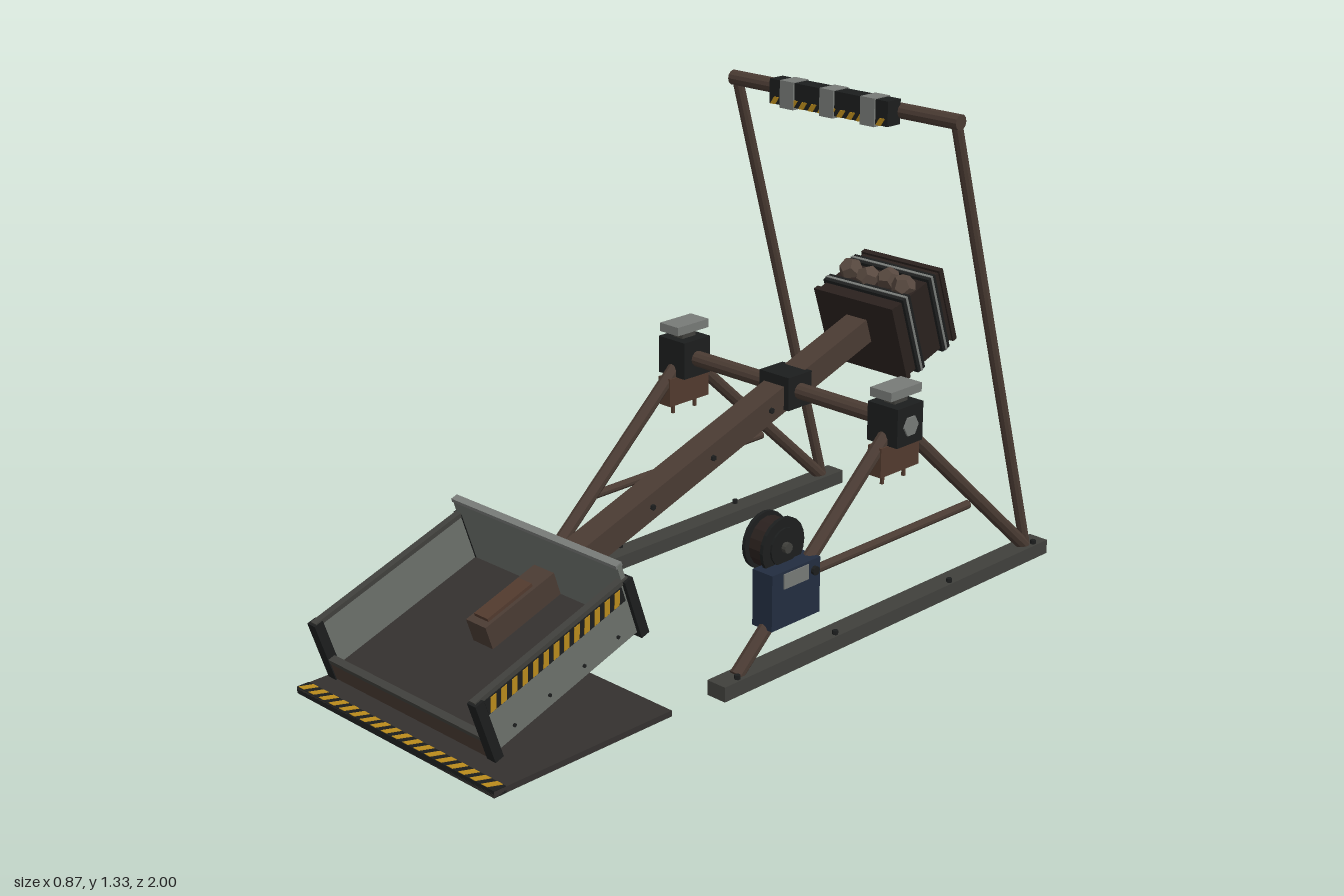
import * as THREE from 'three';
import { mergeGeometries } from 'three/addons/utils/BufferGeometryUtils.js';

const mat = (color) => new THREE.MeshStandardMaterial({ color, flatShading: true });
const M = {
  wood: mat(0x4a3b33), rust: mat(0x523a2e), rail: mat(0x40403c), black: mat(0x1c1e1e),
  grey: mat(0x6c706b), steel: mat(0x777a77), plate: mat(0x34312f), yellow: mat(0xb98a1c),
  blue: mat(0x222d40), weight: mat(0x2a211e), stone: mat(0x57483f),
};

function add(parent, name, geo, material, x = 0, y = 0, z = 0) {
  const m = new THREE.Mesh(geo, material);
  m.name = name;
  m.position.set(x, y, z);
  parent.add(m);
  return m;
}
const box = (p, name, material, w, h, d, x, y, z) =>
  add(p, name, new THREE.BoxGeometry(w, h, d), material, x, y, z);

// Cylinder along x
function barX(p, name, material, r, len, x, y, z, sides = 12) {
  return add(p, name, new THREE.CylinderGeometry(r, r, len, sides).rotateZ(Math.PI / 2), material, x, y, z);
}

// Cylinder between two points
function strut(p, name, material, r, a, b) {
  const A = new THREE.Vector3(...a), B = new THREE.Vector3(...b);
  const dir = B.clone().sub(A);
  const m = add(p, name, new THREE.CylinderGeometry(r, r, dir.length(), 10), material);
  m.position.copy(A).add(B).multiplyScalar(0.5);
  m.quaternion.setFromUnitVectors(new THREE.Vector3(0, 1, 0), dir.normalize());
  return m;
}

// Row of slanted stripes in the xy plane, facing +z
function stripes(len, h, n) {
  const step = len / n, w = step * 0.5, s = step * 0.4, parts = [];
  for (let i = 0; i < n; i++) {
    const x = -len / 2 + i * step;
    const shape = new THREE.Shape([
      new THREE.Vector2(x, -h / 2), new THREE.Vector2(x + w, -h / 2),
      new THREE.Vector2(x + w + s, h / 2), new THREE.Vector2(x + s, h / 2)]);
    parts.push(new THREE.ExtrudeGeometry(shape, { depth: 0.003, bevelEnabled: false }));
  }
  return mergeGeometries(parts);
}

function sideFrame(s) {
  const g = new THREE.Group(), x = 0.38 * s;
  g.name = 'sideFrame';
  box(g, 'baseRail', M.rail, 0.06, 0.04, 1.295, x, 0.022, -0.3515);
  for (const z of [0.24, -0.12, -0.58, -0.95])
    add(g, 'railBolt', new THREE.CylinderGeometry(0.008, 0.008, 0.014, 6), M.black, x + 0.018 * s, 0.046, z);
  strut(g, 'frontLeg', M.wood, 0.019, [x, 0.04, 0.225], [x, 0.55, -0.345]);
  strut(g, 'rearLeg', M.wood, 0.019, [x, 0.04, -0.93], [x, 0.55, -0.365]);
  strut(g, 'brace', M.wood, 0.012, [x, 0.235, 0.01], [x, 0.235, -0.67]);
  strut(g, 'gantryPole', M.wood, 0.015, [x, 0.04, -0.935], [x, 1.3, -0.56]);
  // Axle bearing with cap and hanging gusset
  box(g, 'bearingBlock', M.black, 0.1, 0.105, 0.1, x, 0.557, -0.355);
  box(g, 'bearingCap', M.steel, 0.07, 0.024, 0.12, x, 0.641, -0.355);
  box(g, 'capNeck', M.rail, 0.035, 0.03, 0.05, x, 0.617, -0.355);
  box(g, 'gusset', M.rust, 0.045, 0.08, 0.15, x, 0.465, -0.352);
  for (const z of [-0.31, -0.395])
    box(g, 'gussetPin', M.rust, 0.008, 0.04, 0.008, x, 0.415, z);
  barX(g, 'axleNut', M.steel, 0.028, 0.02, 0.425 * s, 0.555, -0.355, 6);
  return g;
}

function gantry() {
  const g = new THREE.Group();
  g.name = 'gantry';
  barX(g, 'crossbar', M.wood, 0.021, 0.79, 0, 1.3, -0.56);
  box(g, 'pad', M.black, 0.41, 0.066, 0.05, 0, 1.3, -0.526);
  for (const x of [-0.14, 0, 0.14])
    box(g, 'padStrap', M.steel, 0.048, 0.074, 0.06, x, 1.298, -0.526);
  add(g, 'padStripes', stripes(0.4, 0.02, 12), M.yellow, 0, 1.277, -0.501);
  return g;
}

// Tray lies along the arm: z runs down the arm, y square to it
function tray() {
  const g = new THREE.Group();
  g.name = 'tray';
  box(g, 'trayFloor', M.plate, 0.59, 0.018, 0.5, 0, -0.04, 1.135);
  box(g, 'trayBackWall', M.grey, 0.6, 0.195, 0.014, 0, 0.052, 0.895);
  box(g, 'backWallRim', M.steel, 0.6, 0.01, 0.02, 0, 0.148, 0.895);
  box(g, 'trayFrontLip', M.wood, 0.57, 0.052, 0.016, 0, -0.034, 1.38);
  box(g, 'frontLipRim', M.rail, 0.57, 0.012, 0.02, 0, -0.004, 1.38);
  box(g, 'undersidePlate', M.black, 0.17, 0.016, 0.2, 0, -0.056, 1.06);
  for (const s of [-1, 1]) {
    box(g, 'traySideWall', M.grey, 0.014, 0.15, 0.5, 0.294 * s, 0.027, 1.135);
    box(g, 'sideRim', M.rail, 0.02, 0.012, 0.5, 0.295 * s, 0.104, 1.135);
    for (const z of [0.89, 1.378])
      box(g, 'trayPost', M.black, 0.03, 0.168, 0.026, 0.298 * s, 0.022, z);
    box(g, 'hazardBand', M.black, 0.006, 0.04, 0.45, 0.302 * s, 0.076, 1.135);
    const h = add(g, 'hazardStripes', stripes(0.44, 0.036, 13), M.yellow, 0.304 * s, 0.076, 1.135);
    h.rotation.y = s * Math.PI / 2;
    for (let i = 0; i < 4; i++)
      barX(g, 'wallRivet', M.black, 0.005, 0.006, 0.302 * s, -0.02, 0.96 + i * 0.115, 6);
  }
  return g;
}

function counterweight() {
  const g = new THREE.Group();
  g.name = 'counterweight';
  box(g, 'weightBox', M.weight, 0.27, 0.215, 0.215, 0, -0.02, -0.42);
  for (const z of [-0.318, -0.524])
    box(g, 'weightEnd', M.weight, 0.28, 0.228, 0.016, 0, -0.02, z);
  for (const z of [-0.37, -0.48]) {
    box(g, 'weightBand', M.black, 0.286, 0.234, 0.03, 0, -0.02, z);
    box(g, 'bandRidge', M.steel, 0.288, 0.238, 0.008, 0, -0.02, z);
  }
  [-0.1, -0.025, 0.035, 0.1].forEach((x, i) => {
    const r = add(g, 'stone', new THREE.DodecahedronGeometry(0.035), M.stone, x, 0.098, -0.425 + (i % 2) * 0.015);
    r.rotation.set(i, i * 2, i * 0.7);
  });
  return g;
}

function throwingArm() {
  const g = new THREE.Group();
  g.name = 'throwingArm';
  g.position.set(0, 0.552, -0.355);
  g.rotation.x = 0.326;
  box(g, 'armBeam', M.wood, 0.072, 0.07, 1.5, 0, 0, 0.385);
  box(g, 'armEndPlate', M.rust, 0.05, 0.012, 0.15, 0, 0.038, 1.04);
  for (const z of [0.1, 0.33, 0.56, 0.8])
    barX(g, 'armBolt', M.black, 0.008, 0.086, 0, 0, z, 6);
  g.add(tray(), counterweight());
  return g;
}

function winch() {
  const g = new THREE.Group();
  g.name = 'winch';
  box(g, 'controlBox', M.blue, 0.066, 0.15, 0.175, 0.378, 0.21, 0.045);
  box(g, 'controlLabel', M.steel, 0.004, 0.04, 0.09, 0.412, 0.258, 0.047);
  barX(g, 'controlKnob', M.black, 0.012, 0.012, 0.414, 0.255, -0.02, 10);
  barX(g, 'spool', M.black, 0.05, 0.075, 0.335, 0.325, 0.045, 16);
  barX(g, 'spoolShaft', M.rail, 0.014, 0.09, 0.34, 0.325, 0.045);
  for (const x of [0.302, 0.362])
    barX(g, 'spoolFlange', M.black, 0.076, 0.01, x, 0.325, 0.045, 20);
  barX(g, 'cable', M.weight, 0.066, 0.042, 0.332, 0.325, 0.045, 16);
  return g;
}

export function createModel() {
  const root = new THREE.Group();
  root.name = 'counterweightLauncher';
  root.add(sideFrame(1), sideFrame(-1), gantry(), throwingArm(), winch());

  // Axle and central collar
  barX(root, 'axle', M.wood, 0.022, 0.85, 0, 0.555, -0.355);
  box(root, 'axleCollar', M.black, 0.105, 0.092, 0.09, 0, 0.555, -0.355);

  // Landing plate on the ground with a striped front edge
  box(root, 'groundPlate', M.plate, 0.74, 0.016, 0.56, 0, 0.01, 0.718);
  box(root, 'groundPlateEdge', M.black, 0.74, 0.018, 0.036, 0, 0.0105, 0.98);
  const edge = add(root, 'groundStripes', stripes(0.73, 0.034, 18), M.yellow, 0, 0.018, 0.98);
  edge.rotation.x = -Math.PI / 2;
  return root;
}
